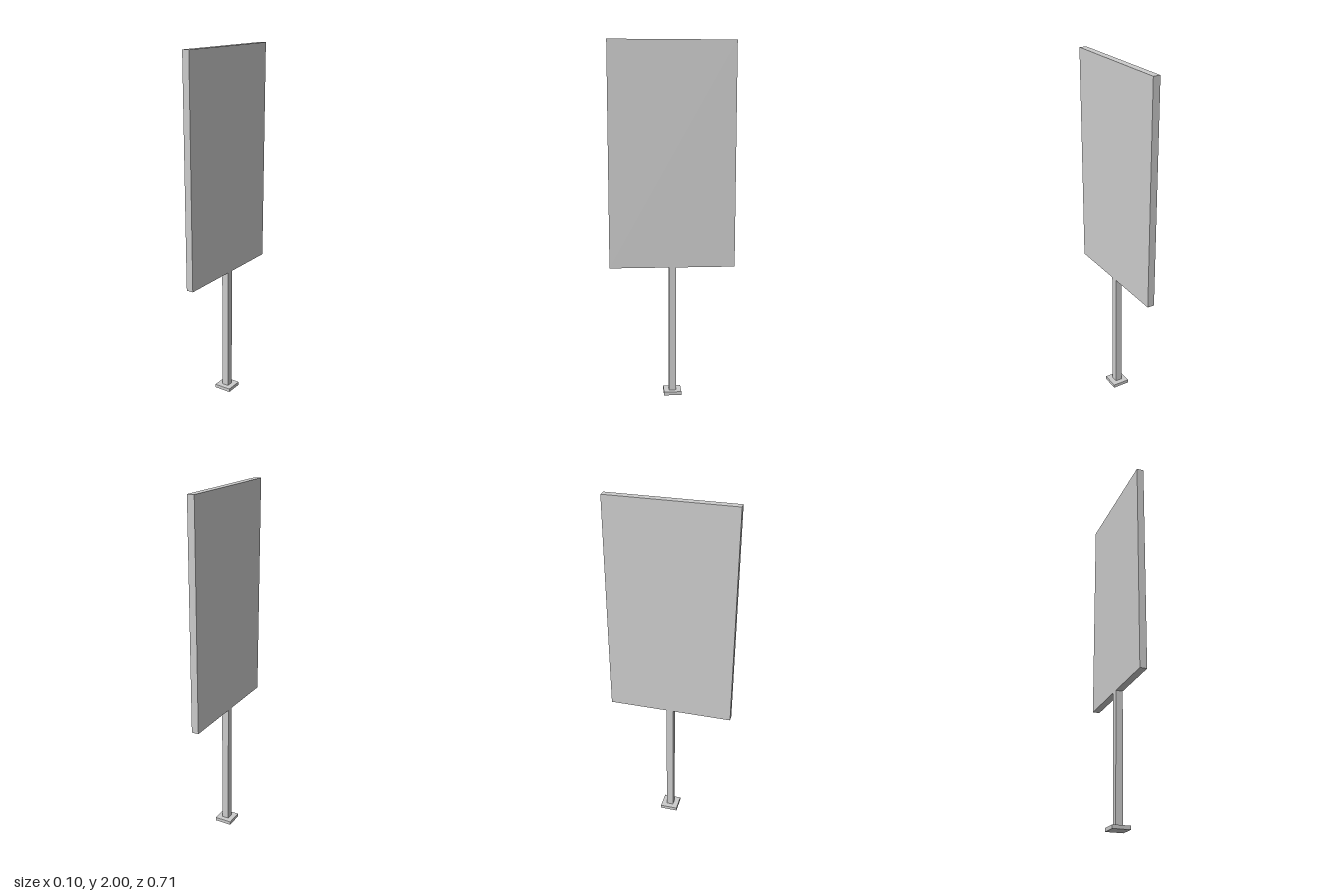
import * as THREE from 'three';

// Free-standing sign: a thin panel on a square post with a foot plate.
export function createModel() {
  const group = new THREE.Group();
  const material = new THREE.MeshStandardMaterial({ color: 0xcccccc, flatShading: true });

  // Box standing between two heights, centred on the post axis
  const addBlock = (name, width, depth, bottom, top) => {
    const mesh = new THREE.Mesh(new THREE.BoxGeometry(width, top - bottom, depth), material);
    mesh.name = name;
    mesh.position.y = (bottom + top) / 2;
    group.add(mesh);
  };

  const thickness = 0.04; // shared by post and panel
  const baseTop = 0.02;
  const panelBottom = 0.747;

  addBlock('basePlate', 0.1, 0.1, 0, baseTop);
  addBlock('post', thickness, thickness, baseTop, panelBottom);
  addBlock('signPanel', thickness, 0.707, panelBottom, 2);

  return group;
}
